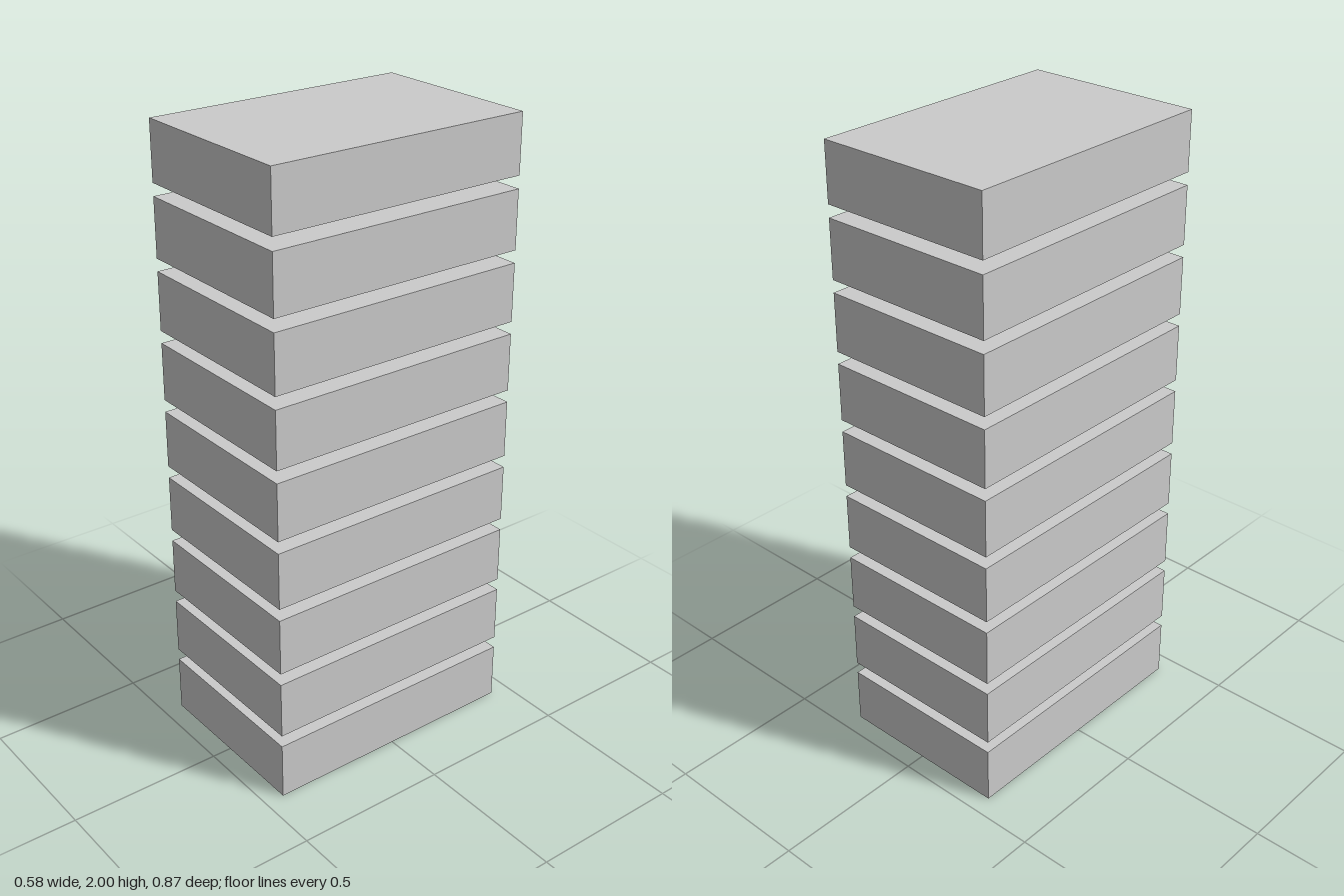
import * as THREE from 'three';

const COUNT = 9;
const WIDTH = 0.583, HEIGHT = 0.187, DEPTH = 0.872;
const PITCH = (2 - HEIGHT) / (COUNT - 1);

export function createModel() {
  const model = new THREE.Group();
  model.name = 'slabTower';
  const material = new THREE.MeshStandardMaterial({ color: 0xcccccc, flatShading: true });
  const geometry = new THREE.BoxGeometry(WIDTH, HEIGHT, DEPTH);

  // Identical floor slabs stacked with an open gap between them
  for (let i = 0; i < COUNT; i++) {
    const slab = new THREE.Mesh(geometry, material);
    slab.name = `floorSlab${i + 1}`;
    slab.position.y = HEIGHT / 2 + i * PITCH;
    model.add(slab);
  }
  return model;
}
